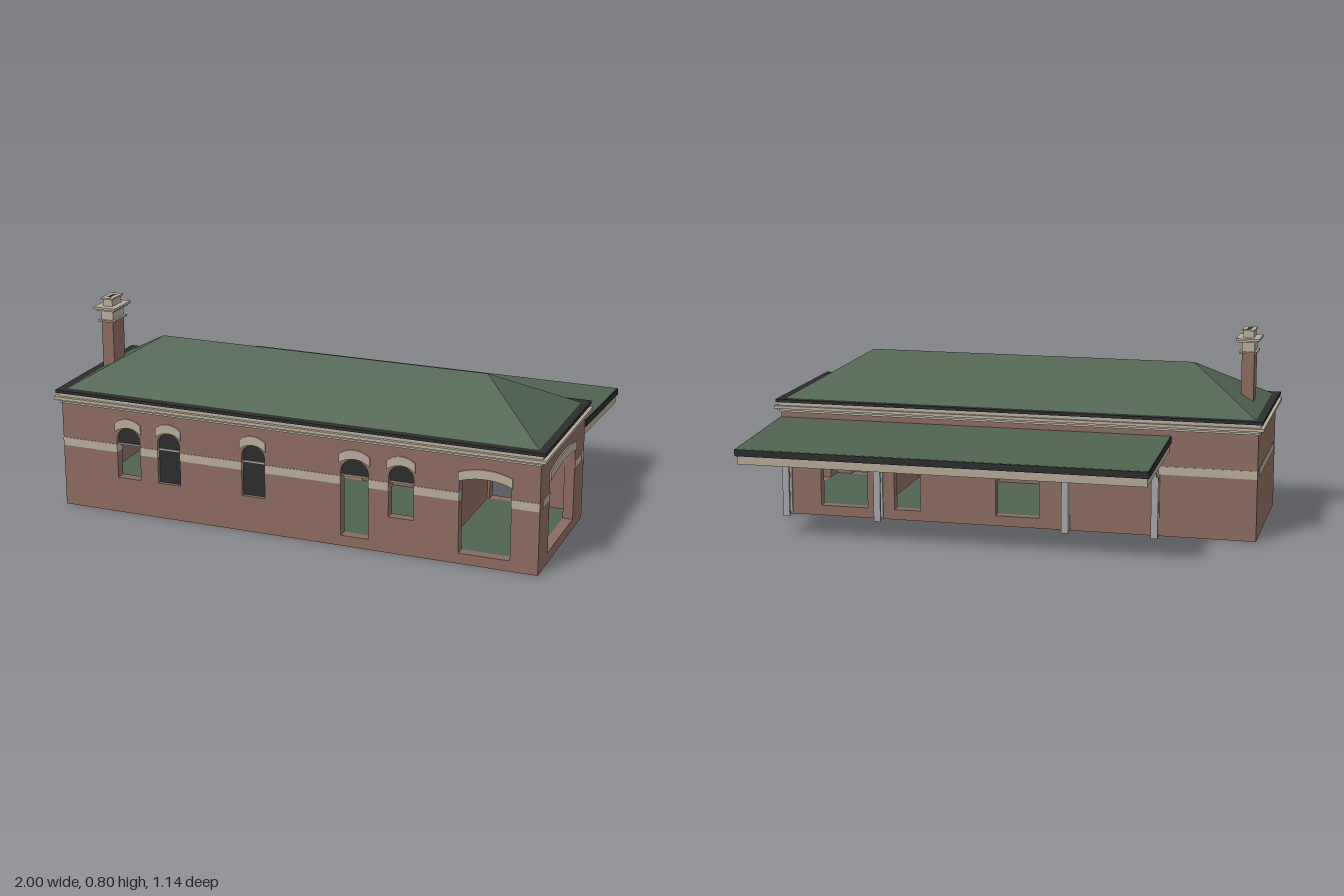
import * as THREE from 'three';

const mat = (name, color, side = THREE.FrontSide) => {
  const m = new THREE.MeshStandardMaterial({ color, side });
  m.name = name;
  return m;
};
const brick = mat('brick', 0x8b6a5f);
const stone = mat('cream stone', 0xb5ab98);
const green = mat('green roof', 0x4f6350);
const black = mat('black trim', 0x2c2c2c);
const iron = mat('grey iron', 0xa4a5a8);

const T = 0.04; // wall thickness

function add(parent, name, geometry, material) {
  const mesh = new THREE.Mesh(geometry, material);
  mesh.name = name;
  parent.add(mesh);
  return mesh;
}

// Box given by its limits on each axis
function box(parent, name, material, x0, x1, y0, y1, z0, z1) {
  const mesh = add(parent, name, new THREE.BoxGeometry(x1 - x0, y1 - y0, z1 - z0), material);
  mesh.position.set((x0 + x1) / 2, (y0 + y1) / 2, (z0 + z1) / 2);
  return mesh;
}

function extrude(points, depth, z, holes = []) {
  const shape = new THREE.Shape(points);
  shape.holes = holes;
  return new THREE.ExtrudeGeometry(shape, { depth, bevelEnabled: false, curveSegments: 12 }).translate(0, 0, z);
}

// Circular arch from right to left over a chord
function arch(c, w, spring, rise, n = 12) {
  const r = (w * w / 4 + rise * rise) / (2 * rise);
  const half = Math.asin(Math.min(1, w / 2 / r));
  return Array.from({ length: n + 1 }, (_, i) => {
    const a = half * (1 - 2 * i / n);
    return new THREE.Vector2(c + r * Math.sin(a), spring + rise - r + r * Math.cos(a));
  });
}

const opening = (o, bottom) => [
  new THREE.Vector2(o.c - o.w / 2, bottom), new THREE.Vector2(o.c + o.w / 2, bottom),
  ...arch(o.c, o.w, o.spring, o.rise)];

// Wall with its outer face on z = 0, with band, openings, panes and arched heads
function wall(name, x0, x1, openings = []) {
  const g = new THREE.Group();
  g.name = name;
  const outline = [[x0, 0], [x1, 0], [x1, 0.44], [x0, 0.44]].map(p => new THREE.Vector2(...p));
  const holes = openings.map(o => new THREE.Path(opening(o, o.bottom)));
  add(g, 'brickwork', extrude(outline, T, -T, holes), brick);

  let start = x0;
  for (const o of [...openings].sort((a, b) => a.c - b.c)) {
    box(g, 'band', stone, start, o.c - o.w / 2, 0.25, 0.283, -T - 0.002, 0.002);
    start = o.c + o.w / 2;
  }
  box(g, 'band', stone, start, x1, 0.25, 0.283, -T - 0.002, 0.002);

  for (const o of openings) {
    const [spring, rise, w] = o.pane ? [0.335, 0.022, o.w + 0.012] : [o.spring, o.rise, o.w + 0.008];
    const inner = arch(o.c, w, spring, rise);
    const outer = inner.map(p => new THREE.Vector2(p.x, p.y + 0.036)).reverse();
    add(g, 'archHead', extrude([...inner, ...outer], 0.008, -0.003), stone);
    if (!o.pane) continue;
    add(g, 'pane', extrude(opening(o, o.pane === 'full' ? o.bottom : 0.285), 0.006, -0.022), black);
    box(g, 'transom', stone, o.c - o.w / 2, o.c + o.w / 2, 0.28, 0.286, -0.024, -0.012);
  }
  return g;
}

const arched = (c, w, bottom, pane) => ({ c, w, bottom, spring: 0.305, rise: 0.049, pane });
const wide = (c, w) => ({ c, w, bottom: 0.042, spring: 0.328, rise: 0.02 });

function walls() {
  const g = new THREE.Group();
  g.name = 'walls';
  const front = wall('frontWall', -0.98, 0.975, [
    arched(-0.692, 0.1, 0.145, 'fan'), arched(-0.518, 0.096, 0.145, 'full'),
    arched(-0.16, 0.096, 0.145, 'full'), arched(0.255, 0.112, 0.042, 'fan'),
    arched(0.441, 0.1, 0.145, 'fan'), wide(0.767, 0.2)]);
  front.position.z = 0.55;
  // The back wall is turned round, so its openings are mirrored
  const back = wall('backWall', -0.975, 0.98, [
    wide(-0.71, 0.2), arched(-0.441, 0.11, 0.042, 'fan'),
    { ...arched(0.02, 0.18, 0.042, 'fan'), spring: 0.315, rise: 0.04 }]);
  back.rotation.y = Math.PI;
  back.position.z = -0.06;
  const right = wall('rightWall', -0.51, 0.02, [wide(-0.248, 0.35)]);
  right.rotation.y = Math.PI / 2;
  right.position.x = 0.975;
  const left = wall('leftWall', -0.02, 0.51);
  left.rotation.y = -Math.PI / 2;
  left.position.x = -0.98;
  const partition = wall('porchPartition', -0.51, 0.02);
  partition.rotation.y = Math.PI / 2;
  partition.position.x = 0.6;
  g.add(front, back, right, left, partition);
  box(g, 'floor', green, -0.94, 0.935, 0.03, 0.042, -0.02, 0.51);
  return g;
}

function roof() {
  const g = new THREE.Group();
  g.name = 'mainRoof';
  // Cornice courses and gutter: overhang, bottom, top
  const courses = [[0.006, 0.428, 0.436, stone], [0.012, 0.436, 0.444, stone],
    [0.023, 0.444, 0.456, stone], [0.01, 0.456, 0.47, stone], [0.018, 0.47, 0.482, black]];
  for (const [d, y0, y1, m] of courses)
    box(g, m === stone ? 'cornice' : 'gutter', m, -0.98 - d, 0.975 + d, y0, y1, -0.06 - d, 0.55 + d);

  // Hipped slopes
  const geo = new THREE.BufferGeometry();
  geo.setAttribute('position', new THREE.Float32BufferAttribute([
    -0.973, 0.478, 0.54, 0.968, 0.478, 0.54, 0.968, 0.478, -0.05, -0.973, 0.478, -0.05,
    -0.68, 0.65, 0.245, 0.672, 0.65, 0.245], 3));
  geo.setIndex([0, 1, 5, 0, 5, 4, 1, 2, 5, 2, 3, 4, 2, 4, 5, 3, 0, 4]);
  const hip = geo.toNonIndexed();
  hip.computeVertexNormals();
  add(g, 'hippedSlopes', hip, green);
  return g;
}

function chimney() {
  const g = new THREE.Group();
  g.name = 'chimney';
  // Half width, half depth, bottom, top
  const parts = [['stack', brick, 0.025, 0.046, 0.46, 0.7], ['lowerMoulding', stone, 0.035, 0.058, 0.7, 0.706],
    ['neck', stone, 0.026, 0.046, 0.706, 0.744], ['upperMoulding', stone, 0.038, 0.057, 0.744, 0.752],
    ['upperMoulding', stone, 0.047, 0.068, 0.752, 0.761], ['cap', stone, 0.021, 0.038, 0.761, 0.789],
    ['capRim', stone, 0.026, 0.045, 0.789, 0.795]];
  for (const [n, m, w, d, y0, y1] of parts) box(g, n, m, -w, w, y0, y1, -d, d);
  box(g, 'flue', black, -0.008, 0.008, 0.79, 0.7955, -0.025, 0.025);
  g.position.set(-0.9, 0, 0.257);
  return g;
}

function canopy() {
  const g = new THREE.Group();
  g.name = 'platformCanopy';
  const [l, r, e] = [-0.64, 0.98, -0.512];
  box(g, 'canopyRoof', green, l + 0.004, r - 0.004, -0.006, 0.001, e + 0.004, 0);
  box(g, 'canopyCeiling', stone, l + 0.01, r - 0.01, -0.032, -0.026, e + 0.01, 0);
  for (const [n, m, y0, y1, d] of [['edgeTrim', black, -0.026, 0, 0], ['fascia', stone, -0.06, -0.026, 0.007]]) {
    box(g, n, m, l + d, l + d + 0.01, y0, y1, e + d, 0);
    box(g, n, m, r - d - 0.01, r - d, y0, y1, e + d, 0);
    box(g, n, m, l + d, r - d, y0, y1, e + d, e + d + 0.01);
  }
  g.position.set(0, 0.405, -0.06);
  g.rotation.x = -0.052;
  return g;
}

// Lattice post with a pierced curved bracket, local x running out from the wall
function bracket(x) {
  const g = new THREE.Group();
  g.name = 'canopyBracket';
  box(g, 'innerPost', iron, 0.002, 0.008, 0, 0.25, -0.012, 0.012);
  box(g, 'outerPost', iron, 0.04, 0.05, 0, 0.25, -0.014, 0.014);
  for (let i = 0; i < 6; i++) {
    const brace = add(g, 'latticeBrace', new THREE.BoxGeometry(0.054, 0.007, 0.01), iron);
    brace.position.set(0.024, 0.022 + i * 0.041, 0);
    brace.rotation.z = (i % 2 ? -1 : 1) * 0.85;
  }
  const s = new THREE.Shape();
  s.moveTo(0.002, 0.25);
  s.lineTo(0.05, 0.25);
  s.bezierCurveTo(0.05, 0.31, 0.09, 0.345, 0.15, 0.345);
  s.lineTo(0.43, 0.332);
  s.lineTo(0.43, 0.353);
  s.lineTo(0.05, 0.372);
  s.bezierCurveTo(0.02, 0.35, 0.002, 0.3, 0.002, 0.25);
  for (const [u, y] of [[0.032, 0.29], [0.058, 0.33], [0.1, 0.353], [0.2, 0.353], [0.3, 0.348]])
    s.holes.push(new THREE.Path().absarc(u, y, 0.005, 0, Math.PI * 2, true));
  const web = new THREE.ExtrudeGeometry(s, { depth: 0.012, bevelEnabled: false, curveSegments: 10 });
  add(g, 'curvedBracket', web.translate(0, 0, -0.006), iron);
  g.rotation.y = Math.PI / 2;
  g.position.set(x, 0, -0.06);
  return g;
}

export function createModel() {
  const model = new THREE.Group();
  model.name = 'stationBuilding';
  model.add(walls(), roof(), chimney(), canopy());
  for (const x of [0.945, 0.555, -0.225, -0.585]) model.add(bracket(x));
  return model;
}
